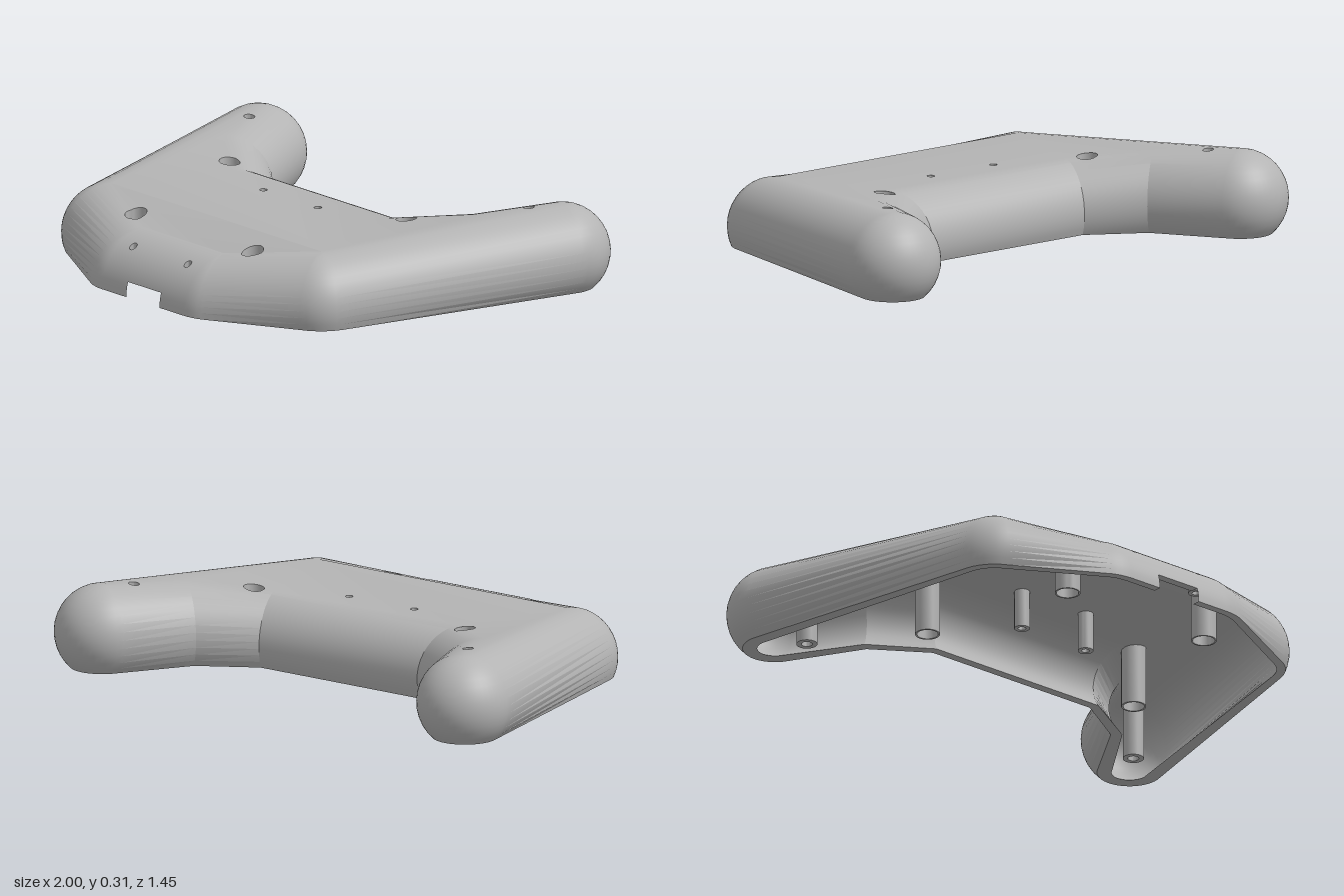
import * as THREE from 'three';
import { toCreasedNormals } from 'three/addons/utils/BufferGeometryUtils.js';

const WALL = 0.03, SIDES = 24, STEPS = 14;

// Centre line of the rounded edge: x, y, z, radius (nose, corner, grip end, grip root, back)
const half = [
  [0.22, 0, 0.53, 0.195], [0.57, 0.07, 0.375, 0.18], [0.825, 0.13, -0.55, 0.175],
  [0.678, 0.107, -0.255, 0.175], [0.418, 0.075, -0.06, 0.175],
];
const spine = [...half, ...half.map(([x, y, z, r]) => [-x, y, z, r]).reverse()];
// Flat roof panels between the spine points
const roofPanels = [[0, 1, 8], [0, 8, 9], [1, 4, 5], [1, 5, 8], [1, 2, 3], [1, 3, 4], [8, 6, 7], [8, 5, 6]];

// Screw holes: x, z, bore radius, post radius, post bottom
const holes = [
  [0.76, -0.45, 0.02, 0.038, 0], [0.48, -0.11, 0.038, 0.045, 0], [0.317, 0.48, 0.04, 0.046, 0],
  [0.148, 0.02, 0.014, 0.028, 0.075], [0.148, 0.64, 0.014, 0.028, 0.08],
].flatMap(([x, ...rest]) => [[x, ...rest], [-x, ...rest]]);

const NOTCH = { w: 0.09, h: 0.055 };

// Outward directions at each spine point: a fan on convex corners, a mitre on concave ones
function columns() {
  const n = spine.length;
  const edgeNormal = (i) => {
    const a = spine[i % n], b = spine[(i + 1) % n];
    return new THREE.Vector2(a[2] - b[2], b[0] - a[0]).normalize();
  };
  const out = [];
  spine.forEach((p, i) => {
    const n0 = edgeNormal(i + n - 1), n1 = edgeNormal(i);
    const cross = n0.y * n1.x - n0.x * n1.y;
    if (cross < 0) {
      out.push({ p, d: n0.clone().add(n1).divideScalar(1 + n0.dot(n1)) });
      return;
    }
    const angle = Math.acos(n0.dot(n1)), a0 = Math.atan2(n0.x, n0.y);
    const steps = Math.max(2, Math.ceil(angle / 0.13));
    for (let k = 0; k <= steps; k++) {
      const a = a0 + (angle * k) / steps;
      out.push({ p, d: new THREE.Vector2(Math.sin(a), Math.cos(a)) });
    }
  });
  return out;
}

// Rings from the cut at y = 0 up to the roof
function skinGrid(cols, inset) {
  return cols.map(({ p: [x, y, z, R], d }) => {
    const r = R - inset, start = -Math.asin(y / r);
    return Array.from({ length: STEPS + 1 }, (_, j) => {
      const a = start + ((Math.PI / 2 - start) * j) / STEPS;
      const c = j === STEPS ? 0 : r * Math.cos(a);
      return [x + d.x * c, j === 0 ? 0 : y + r * Math.sin(a), z + d.y * c];
    });
  });
}

function soup(tris) {
  const area = ([a, b, c]) => {
    const v = (p, q) => new THREE.Vector3(q[0] - p[0], q[1] - p[1], q[2] - p[2]);
    return v(a, b).cross(v(a, c)).length();
  };
  const g = new THREE.BufferGeometry();
  const data = tris.filter((t) => area(t) > 1e-9).flat(2);
  g.setAttribute('position', new THREE.Float32BufferAttribute(data, 3));
  return toCreasedNormals(g, 0.25);
}

function skin(grid, inset, flip) {
  const tris = [];
  const add = (a, b, c) => tris.push(flip ? [a, c, b] : [a, b, c]);
  grid.forEach((col, i) => {
    const next = grid[(i + 1) % grid.length];
    for (let j = 0; j < STEPS; j++) {
      add(col[j], next[j], next[j + 1]);
      add(col[j], next[j + 1], col[j + 1]);
    }
  });
  const top = spine.map(([x, y, z, r]) => [x, y + r - inset, z]);
  roofPanels.forEach(([a, b, c]) => add(top[a], top[b], top[c]));
  return soup(tris);
}

function rim(outer, inner) {
  const tris = [];
  outer.forEach((col, i) => {
    const k = (i + 1) % outer.length;
    tris.push([col[0], inner[i][0], inner[k][0]], [col[0], inner[k][0], outer[k][0]]);
  });
  return soup(tris);
}

// Cut convex volumes (lists of planes [nx, ny, nz, d]) out of a surface
function cut(geometry, volumes) {
  const P = geometry.attributes.position, N = geometry.attributes.normal;
  const vert = (i) => [P.getX(i), P.getY(i), P.getZ(i), N.getX(i), N.getY(i), N.getZ(i)];
  let polys = [];
  for (let i = 0; i < P.count; i += 3) polys.push([vert(i), vert(i + 1), vert(i + 2)]);
  const dist = (v, p) => v[0] * p[0] + v[1] * p[1] + v[2] * p[2] - p[3];
  const clip = (poly, plane, sign) => poly.flatMap((v, i) => {
    const w = poly[(i + 1) % poly.length];
    const a = dist(v, plane) * sign, b = dist(w, plane) * sign;
    const res = a >= 0 ? [v] : [];
    if (a * b < 0) res.push(v.map((c, k) => c + ((w[k] - c) * a) / (a - b)));
    return res;
  });
  for (const planes of volumes) {
    const kept = [];
    for (const poly of polys) {
      if (planes.some((p) => poly.every((v) => dist(v, p) >= -1e-7))) { kept.push(poly); continue; }
      let rest = poly;
      for (const p of planes) {
        const out = clip(rest, p, 1);
        if (out.length > 2) kept.push(out);
        rest = clip(rest, p, -1);
        if (rest.length < 3) break;
      }
    }
    polys = kept;
  }
  const pos = [], nor = [];
  for (const poly of polys) for (let i = 1; i < poly.length - 1; i++) {
    for (const v of [poly[0], poly[i], poly[i + 1]]) {
      pos.push(...v.slice(0, 3));
      nor.push(...v.slice(3));
    }
  }
  const g = new THREE.BufferGeometry();
  g.setAttribute('position', new THREE.Float32BufferAttribute(pos, 3));
  g.setAttribute('normal', new THREE.Float32BufferAttribute(nor, 3));
  return g;
}

function boreVolume([x, z, r]) {
  return Array.from({ length: SIDES }, (_, i) => {
    const a = ((i + 0.5) / SIDES) * Math.PI * 2, nx = Math.sin(a), nz = Math.cos(a);
    return [nx, 0, nz, nx * x + nz * z + r * Math.cos(Math.PI / SIDES)];
  });
}

// Hollow post whose top follows the roof
function postGeometry([x, z, bore, radius, bottom], roofAt) {
  const profile = [[bore, 1], [bore, bottom], [radius, bottom], [radius, 1]];
  const g = new THREE.LatheGeometry(profile.map(([a, b]) => new THREE.Vector2(a, b)), SIDES);
  g.translate(x, 0, z);
  const p = g.attributes.position, mid = roofAt(x, z, 0.25);
  for (let i = 0; i < p.count; i++) {
    if (p.getY(i) < 0.9) continue;
    const sunk = i % 4 === 3 ? 0.015 : 0;
    p.setY(i, roofAt(p.getX(i), p.getZ(i), mid) - sunk);
  }
  return toCreasedNormals(g, 0.6);
}

// Jambs and lintel of the cable notch
function notchGeometry() {
  const { w, h } = NOTCH, [, , z, r] = spine[0];
  const zo = (y) => z + Math.sqrt(r * r - y * y);
  const zi = (y) => z + Math.sqrt((r - WALL) ** 2 - y * y);
  const quad = (a, b, c, d) => [[a, b, c], [a, c, d]];
  const jamb = (x) => quad([x, 0, zi(0)], [x, 0, zo(0)], [x, h, zo(h)], [x, h, zi(h)]);
  const lintel = quad([-w, h, zi(h)], [w, h, zi(h)], [w, h, zo(h)], [-w, h, zo(h)]);
  return soup([...jamb(-w), ...jamb(w).map(([a, b, c]) => [a, c, b]), ...lintel]);
}

export function createModel() {
  const group = new THREE.Group();
  group.name = 'controllerShell';
  const grey = new THREE.MeshStandardMaterial({ color: 0xb4b4b4 });
  grey.name = 'grey plastic';
  const add = (name, geometry) => {
    const mesh = new THREE.Mesh(geometry, grey);
    mesh.name = name;
    group.add(mesh);
  };

  const cols = columns();
  const outer = skinGrid(cols, 0), inner = skinGrid(cols, WALL);
  const outerSkin = skin(outer, 0, false);

  // Roof height lookup on the uncut shell
  const probe = new THREE.Mesh(outerSkin, grey);
  const ray = new THREE.Raycaster();
  const down = new THREE.Vector3(0, -1, 0);
  const roofAt = (x, z, fallback) => {
    ray.set(new THREE.Vector3(x, 1, z), down);
    const hit = ray.intersectObject(probe)[0];
    return hit ? hit.point.y : fallback;
  };

  const notch = [[1, 0, 0, NOTCH.w], [-1, 0, 0, NOTCH.w], [0, 1, 0, NOTCH.h], [0, -1, 0, 0.1], [0, 0, -1, -0.6]];
  const volumes = [...holes.map(boreVolume), notch];
  add('outerShell', cut(outerSkin, volumes));
  add('innerShell', cut(skin(inner, WALL, true), volumes));
  add('bottomRim', cut(rim(outer, inner), [notch]));
  add('cableNotch', notchGeometry());
  holes.forEach((h) => add('screwPost', postGeometry(h, roofAt)));
  return group;
}
